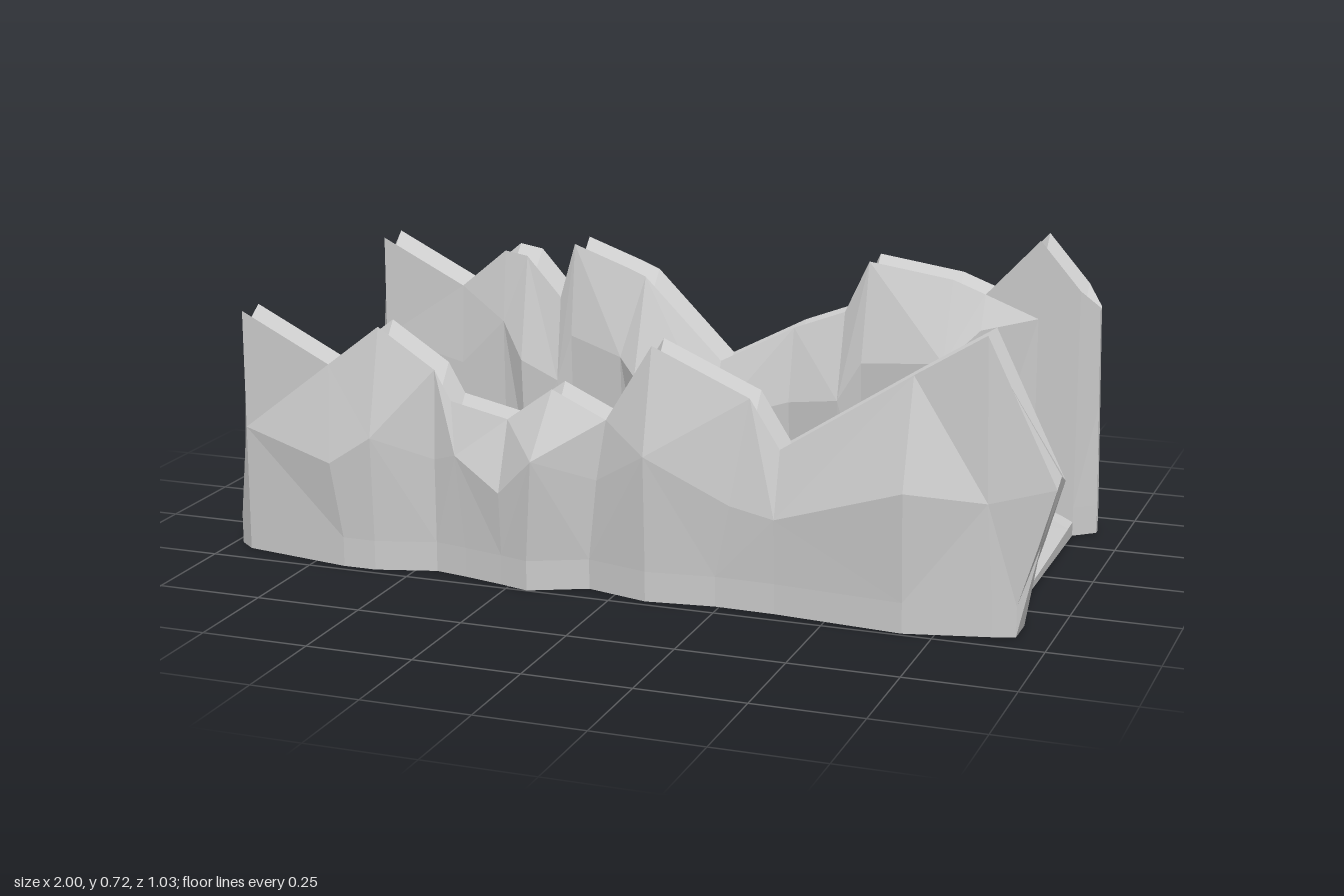
import * as THREE from 'three';

const rock = new THREE.MeshStandardMaterial({ color: 0xcccccc, flatShading: true });

// Wall stations: [x, ridge height, outer z, outer bulge y, inner z, inner bulge y, base x, width factor, notch depth]
// z values are distances from the canyon centre line.
const frontStations = [
  [-0.95, 0.54, 0.43, 0.24, 0.35, 0.24, -0.98, 0.15],
  [-0.94, 0.58, 0.43, 0.30, 0.35, 0.35],
  [-0.72, 0.47, 0.49, 0.25, 0.31, 0.34, -0.67],
  [-0.59, 0.57, 0.49, 0.32, 0.33, 0.37],
  [-0.45, 0.48, 0.44, 0.27, 0.34, 0.24],
  [-0.41, 0.41, 0.46, 0.29, 0.34, 0.20, -0.37],
  [-0.27, 0.38, 0.49, 0.22, 0.32, 0.22],
  [-0.16, 0.46, 0.515, 0.31, 0.33, 0.28, -0.20],
  [-0.03, 0.40, 0.44, 0.26, 0.31, 0.30, -0.07],
  [0.08, 0.58, 0.49, 0.34, 0.33, 0.37],
  [0.31, 0.48, 0.465, 0.24, 0.31, 0.30, 0.24],
  [0.38, 0.37, 0.47, 0.22, 0.295, 0.24],
  [0.68, 0.565, 0.505, 0.32, 0.33, 0.36],
  [0.84, 0.665, 0.45, 0.30, 0.35, 0.37, 0.87],
  [1.00, 0.34, 0.43, 0.20, 0.35, 0.20, 0.92, 1, -0.02],
];
const backStations = [
  [-0.95, 0.56, 0.43, 0.20, 0.33, 0.20, -1.00, 0.3],
  [-0.94, 0.61, 0.43, 0.32, 0.33, 0.35],
  [-0.72, 0.50, 0.51, 0.30, 0.32, 0.30],
  [-0.60, 0.60, 0.45, 0.30, 0.31, 0.42],
  [-0.54, 0.59, 0.485, 0.40, 0.28, 0.33],
  [-0.45, 0.49, 0.44, 0.25, 0.30, 0.28],
  [-0.41, 0.63, 0.46, 0.30, 0.30, 0.40],
  [-0.27, 0.58, 0.485, 0.36, 0.28, 0.36],
  [-0.22, 0.56, 0.44, 0.28, 0.245, 0.32],
  [-0.02, 0.36, 0.49, 0.24, 0.27, 0.22],
  [0.17, 0.46, 0.44, 0.25, 0.29, 0.28],
  [0.30, 0.51, 0.49, 0.34, 0.27, 0.30],
  [0.36, 0.64, 0.475, 0.38, 0.27, 0.40],
  [0.57, 0.61, 0.52, 0.46, 0.25, 0.42],
  [0.65, 0.58, 0.51, 0.34, 0.29, 0.50],
  [0.78, 0.72, 0.45, 0.36, 0.33, 0.53],
  [0.88, 0.605, 0.43, 0.32, 0.33, 0.32],
  [0.92, 0.56, 0.43, 0.32, 0.33, 0.32, 0.93, 0.15],
];

// Closed cross-section: outer foot, outer bulge, notched ridge, inner bulge, inner foot
function section([x, top, zOut, yOut, zIn, yIn, baseX = x, w = 1, notch = 0.05 * w], wall) {
  const { edgeOut, edgeIn, flare } = wall;
  const mid = (edgeOut + edgeIn) / 2;
  const foot = edgeOut + (zOut - edgeOut) * flare;
  const footIn = edgeIn + (zIn - edgeIn) * 0.6;
  const bulgeX = (baseX + x) / 2;
  return [
    [baseX, 0, foot], [baseX, 0.07, foot], [bulgeX, yOut, zOut],
    [x, top, edgeOut], [x, top - notch, mid], [x, top, edgeIn],
    [bulgeX, yIn, zIn], [baseX, 0.07, footIn], [baseX, 0, edgeIn],
  ].map(([px, py, pz]) => [px, py, mid + (pz - mid) * w]);
}

function makeWall(name, stations, wall) {
  const { side } = wall;
  const rings = stations.map((s) => section(s, wall));
  const n = rings[0].length;
  const pos = rings.flat().flatMap(([x, y, z]) => [x, y, z * side]);
  const index = [];
  const tri = (a, b, c) => (side > 0 ? index.push(a, b, c) : index.push(a, c, b));
  for (let i = 0; i < rings.length - 1; i++) {
    for (let j = 0; j < n; j++) {
      const k = (j + 1) % n;
      const a = i * n + j, b = a + n, d = i * n + k, c = d + n;
      if ((i + j) % 2) { tri(a, b, c); tri(a, c, d); }
      else { tri(a, b, d); tri(b, c, d); }
    }
  }
  // End caps, fanned from the middle of the section at bulge height
  for (const end of [0, rings.length - 1]) {
    const pole = pos.length / 3;
    const [bulgeX, bulgeY] = rings[end][2];
    pos.push(bulgeX, bulgeY, side * (wall.edgeOut + wall.edgeIn) / 2);
    for (let j = 0; j < n; j++) {
      const a = end * n + j, b = end * n + (j + 1) % n;
      if (end) tri(pole, b, a); else tri(pole, a, b);
    }
  }
  const geo = new THREE.BufferGeometry();
  geo.setAttribute('position', new THREE.Float32BufferAttribute(pos, 3));
  geo.setIndex(index);
  geo.computeVertexNormals();
  const mesh = new THREE.Mesh(geo, rock);
  mesh.name = name;
  return mesh;
}

// Gently uneven floor whose open ends slope down
function makeFloor() {
  const xs = [-0.94, -0.8, -0.5, -0.22, 0.05, 0.32, 0.58, 0.78, 0.88];
  const zs = [-0.35, -0.28, -0.12, 0.2, 0.29, 0.37];
  const crown = [0.072, 0.076, 0.084, 0.077, 0.07, 0.07];
  const endHeights = [0.035, 0.032, 0.024, 0.012, 0.025, 0.035];
  const geo = new THREE.BoxGeometry(8, 1, 5, 8, 1, 5);
  const p = geo.attributes.position;
  for (let i = 0; i < p.count; i++) {
    const ix = Math.round(p.getX(i) + 4), iz = Math.round(p.getZ(i) + 2.5);
    const atEnd = ix === 0 || ix === 8;
    let y = 0;
    if (p.getY(i) > 0) y = atEnd ? endHeights[iz] : crown[iz] + 0.005 * Math.sin(ix * 1.9 + iz);
    p.setXYZ(i, xs[ix], y, zs[iz]);
  }
  geo.computeVertexNormals();
  const mesh = new THREE.Mesh(geo, rock);
  mesh.name = 'canyonFloor';
  return mesh;
}

export function createModel() {
  const group = new THREE.Group();
  group.name = 'canyon';
  group.add(
    makeFloor(),
    makeWall('frontCliff', frontStations, { side: 1, edgeOut: 0.43, edgeIn: 0.35, flare: 0.8 }),
    makeWall('backCliff', backStations, { side: -1, edgeOut: 0.43, edgeIn: 0.33, flare: 0.5 }),
  );
  return group;
}
